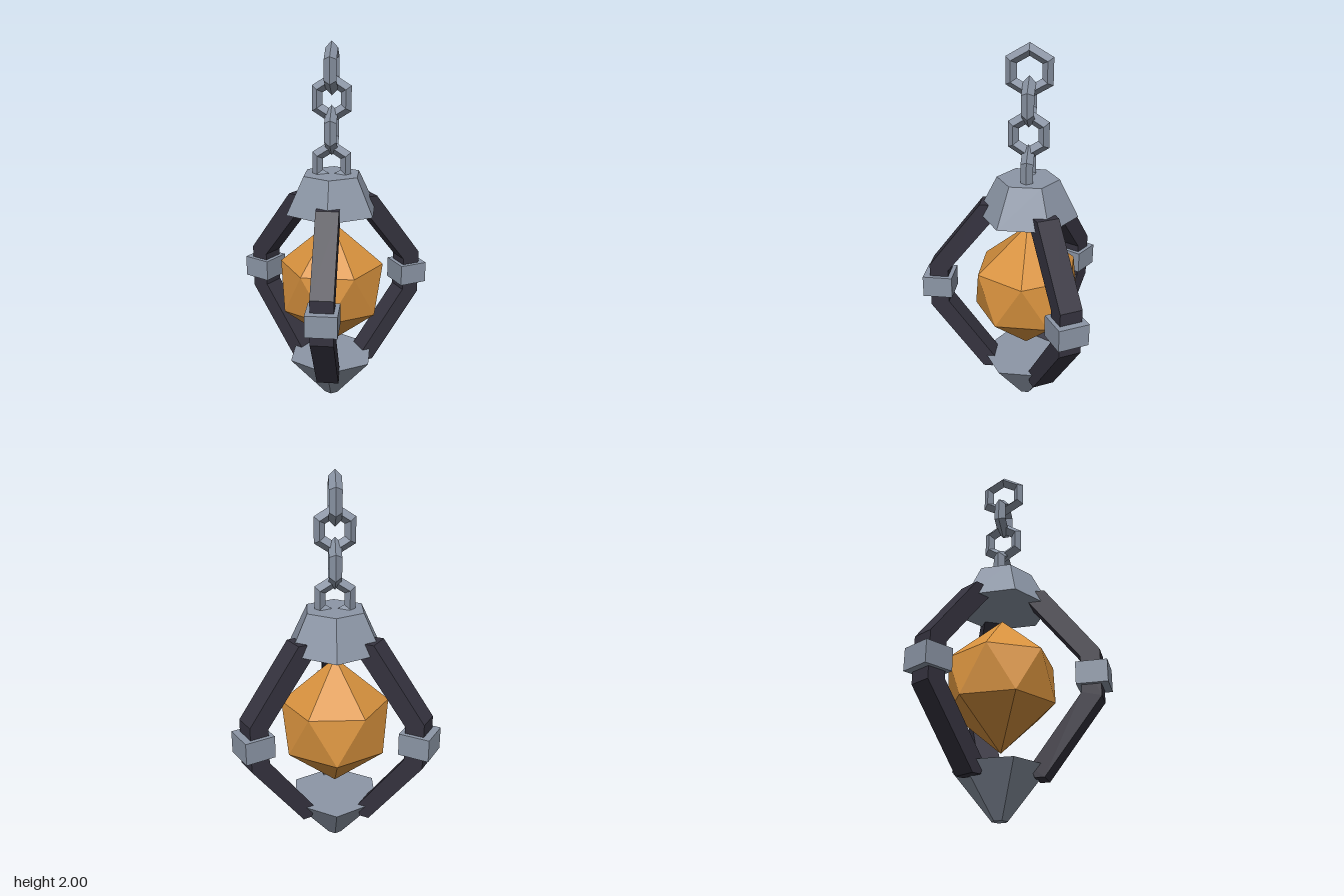
import * as THREE from 'three';

const steel = new THREE.MeshStandardMaterial({ color: 0x8c96a6 });
const darkIron = new THREE.MeshStandardMaterial({ color: 0x35333f });
const amber = new THREE.MeshStandardMaterial({ color: 0xd8923e });

// Faceted mesh: every face gets its own flat normal
function facet(name, geometry, material) {
  const g = geometry.index ? geometry.toNonIndexed() : geometry;
  g.computeVertexNormals();
  const mesh = new THREE.Mesh(g, material);
  mesh.name = name;
  return mesh;
}

// Crystal: two hexagonal rings turned 30 degrees, closed by a tip at each end
function crystalGeometry() {
  const radius = 0.283, top = [0, 1.055, 0], bottom = [0, 0.33, 0], points = [];
  const ring = (i, y, turn) => {
    const a = ((i + turn) * Math.PI) / 3;
    return [radius * Math.cos(a), y, radius * Math.sin(a)];
  };
  for (let i = 0; i < 6; i++) {
    const u0 = ring(i, 0.815, 0), u1 = ring(i + 1, 0.815, 0);
    const l0 = ring(i, 0.57, 0.5), l1 = ring(i + 1, 0.57, 0.5);
    points.push(...top, ...u1, ...u0);
    points.push(...u0, ...u1, ...l0);
    points.push(...u1, ...l1, ...l0);
    points.push(...bottom, ...l0, ...l1);
  }
  const g = new THREE.BufferGeometry();
  g.setAttribute('position', new THREE.Float32BufferAttribute(points, 3));
  return g;
}

// Bent arm: side profile (radius, height) extruded to its width
function armGeometry() {
  const profile = [
    [0.235, 0.188], [0.525, 0.57], [0.525, 0.815], [0.245, 1.183],
    [0.2, 1.183], [0.16, 1.12], [0.425, 0.785], [0.425, 0.595],
    [0.165, 0.245], [0.185, 0.188],
  ];
  const shape = new THREE.Shape(profile.map(([x, y]) => new THREE.Vector2(x, y)));
  const g = new THREE.ExtrudeGeometry(shape, { depth: 0.12, bevelEnabled: false });
  return g.translate(0, 0, -0.06);
}

export function createModel() {
  const model = new THREE.Group();
  model.name = 'hangingLantern';
  const body = new THREE.Group();
  body.name = 'lanternBody';
  body.position.z = -0.105; // three arms make the outline uneven front to back
  model.add(body);

  // Hexagonal cap and pointed base
  const cap = facet('cap', new THREE.CylinderGeometry(0.162, 0.263, 0.2, 6), steel);
  cap.position.y = 1.22;
  const base = facet('base', new THREE.CylinderGeometry(0.252, 0.04, 0.255, 6), steel);
  base.position.y = 0.1275;
  body.add(cap, base, facet('crystal', crystalGeometry(), amber));

  // Three arms, each with a clasp
  [-90, 30, 150].forEach((degrees) => {
    const arm = new THREE.Group();
    arm.name = 'armAssembly';
    arm.rotation.y = THREE.MathUtils.degToRad(degrees);
    const clasp = facet('clasp', new THREE.BoxGeometry(0.16, 0.117, 0.164), steel);
    clasp.position.set(0.482, 0.691, 0);
    arm.add(facet('arm', armGeometry(), darkIron), clasp);
    body.add(arm);
  });

  // Chain of hexagonal links, alternately turned: [height, outer radius, stretch]
  const links = [[1.865, 0.135, 1], [1.715, 0.118, 1.1], [1.55, 0.12, 1.1], [1.37, 0.118, 1.1]];
  links.forEach(([y, outer, stretch], i) => {
    const g = new THREE.TorusGeometry(outer - 0.032, 0.032, 4, 6);
    g.rotateZ(Math.PI / 6).scale(1, stretch, 1);
    if (i % 2 === 0) g.rotateY(Math.PI / 2);
    const link = facet('chainLink', g, steel);
    link.position.y = y;
    body.add(link);
  });

  return model;
}
